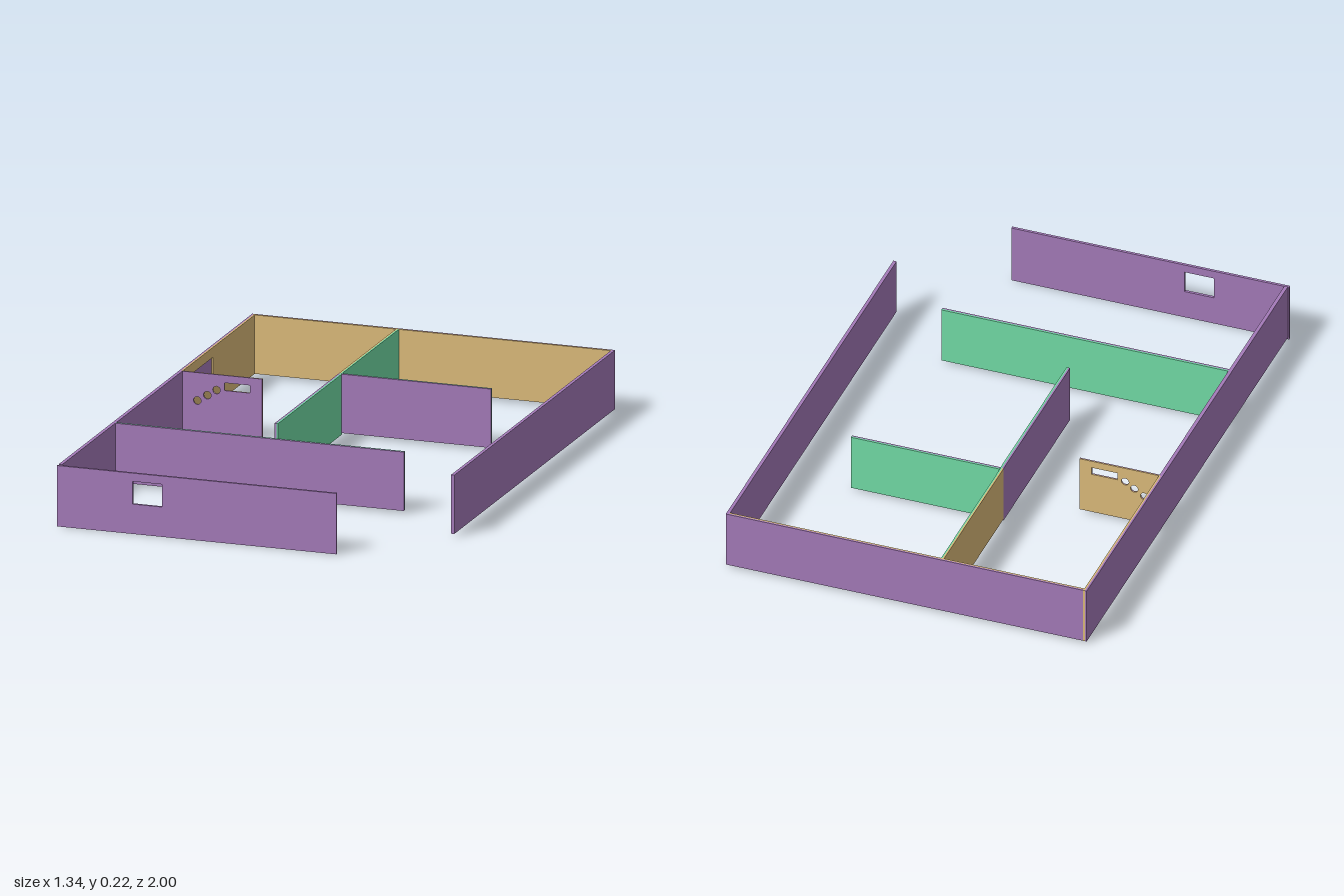
import * as THREE from 'three';

const mat = (color) => {
  const m = new THREE.MeshStandardMaterial();
  m.color.set(color);
  return m;
};
const PURPLE = mat(0xa47ab9), SAND = mat(0xdcbb7a), GREEN = mat(0x72dca6);
const TOP = 0.223, BASE = 0.01;

// Openings in a wall's own plane (u along the wall, y up)
const rectHole = (u0, u1, y0, y1) => new THREE.Path([
  new THREE.Vector2(u0, y0), new THREE.Vector2(u0, y1),
  new THREE.Vector2(u1, y1), new THREE.Vector2(u1, y0)]);
const roundHole = (u, y, r) => new THREE.Path().absarc(u, y, r, 0, Math.PI * 2, true);

// One upright slab from u0 to u1, occupying t0..t1 across its thickness
function slab(axis, [u0, u1], [t0, t1], [y0, y1], material, holes) {
  const shape = new THREE.Shape([
    new THREE.Vector2(u0, y0), new THREE.Vector2(u1, y0),
    new THREE.Vector2(u1, y1), new THREE.Vector2(u0, y1)]);
  shape.holes.push(...holes);
  const geo = new THREE.ExtrudeGeometry(shape, { depth: t1 - t0, bevelEnabled: false, curveSegments: 8 });
  if (axis === 'x') geo.translate(0, 0, t0);            // runs along x
  else geo.rotateY(-Math.PI / 2).translate(t1, 0, 0);   // runs along z
  return new THREE.Mesh(geo, material);
}

// A wall with a finish on its minus and plus sides
function wall({ name, axis, run, across, y = [BASE, TOP], minus = PURPLE, plus = PURPLE, holes = [], plusHoles = [] }) {
  const group = new THREE.Group();
  group.name = name;
  const add = (part, t, material, cut) => {
    const mesh = slab(axis, run, t, y, material, cut);
    mesh.name = name + part;
    group.add(mesh);
  };
  if (minus === plus) add('Panel', across, minus, holes);
  else {
    const mid = (across[0] + across[1]) / 2;
    add('MinusFace', [across[0], mid], minus, holes);
    add('PlusFace', [mid, across[1]], plus, [...holes, ...plusHoles]);
  }
  return group;
}

export function createModel() {
  const model = new THREE.Group();
  model.name = 'floorPlanWalls';
  const walls = [
    // Outer walls
    { name: 'frontWall', axis: 'x', run: [-0.672, 0.36], across: [0.99, 1], y: [0, 0.22],
      holes: [rectHole(-0.392, -0.284, 0.108, 0.19)] },
    { name: 'leftRearWall', axis: 'z', run: [-1, -0.25], across: [-0.668, -0.655], plus: SAND,
      plusHoles: [rectHole(-0.56, -0.29, 0.125, 0.187)] }, // shallow niche
    { name: 'leftMiddleWall', axis: 'z', run: [-0.25, 0.44], across: [-0.668, -0.655] },
    { name: 'leftFrontWall', axis: 'z', run: [0.44, 0.99], across: [-0.668, -0.655] },
    { name: 'backNarrowWall', axis: 'x', run: [-0.655, -0.13], across: [-1, -0.988], plus: SAND },
    { name: 'backWideWall', axis: 'x', run: [-0.13, 0.66], across: [-1, -0.988], plus: SAND },
    { name: 'rightWall', axis: 'z', run: [-1, 0.655], across: [0.66, 0.672] },
    // Inner partitions
    { name: 'frontPartition', axis: 'x', run: [-0.655, 0.41], across: [0.432, 0.445], minus: GREEN },
    { name: 'middlePartition', axis: 'x', run: [-0.122, 0.43], across: [-0.408, -0.396], minus: GREEN },
    { name: 'rearDivider', axis: 'z', run: [-0.988, -0.4], across: [-0.134, -0.123], minus: SAND, plus: GREEN },
    { name: 'frontDivider', axis: 'z', run: [-0.4, 0.257], across: [-0.134, -0.121],
      y: [0.004, TOP], plus: GREEN },
    { name: 'piercedPartition', axis: 'x', run: [-0.655, -0.36], across: [-0.251, -0.244], minus: SAND,
      holes: [rectHole(-0.5, -0.405, 0.168, 0.196),
        ...[[-0.6, 0.122], [-0.563, 0.145], [-0.529, 0.167]].map(([u, y]) => roundHole(u, y, 0.014))] },
  ];
  walls.forEach((w) => model.add(wall(w)));
  return model;
}
